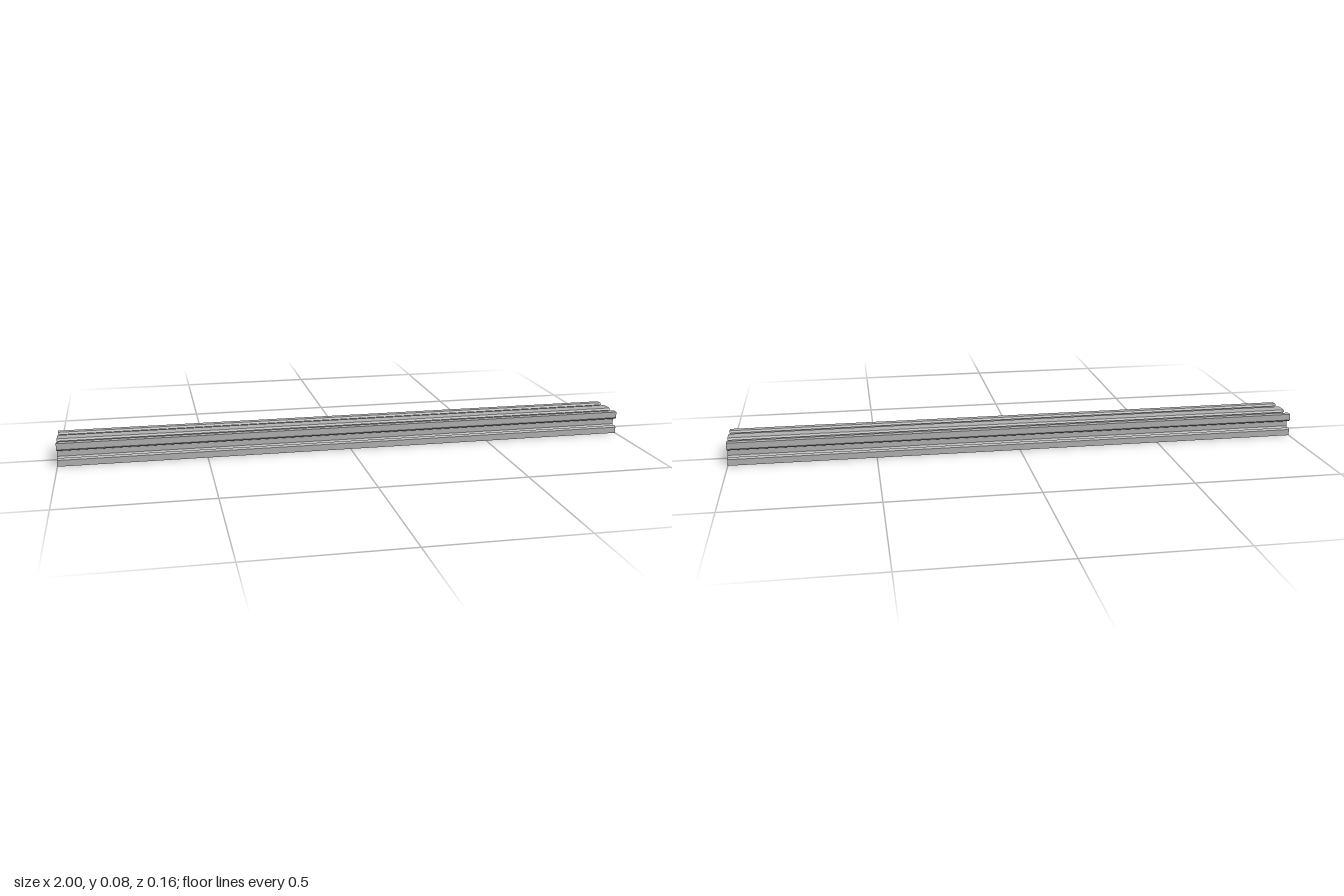
import * as THREE from 'three';

const MM = 0.004; // one millimetre in model units
const LENGTH = 500;

// Mirrors a quarter outline (u, v > 0, ordered from top to side) into a closed loop.
function mirrorQuarter(quarter) {
  const back = [...quarter].reverse();
  return [
    ...quarter,
    ...back.map(([u, v]) => [u, -v]),
    ...quarter.map(([u, v]) => [-u, -v]),
    ...back.map(([u, v]) => [-u, v]),
  ].map(([u, v]) => new THREE.Vector2(u, v));
}

export function createModel() {
  const group = new THREE.Group();
  group.name = 'slottedRail';
  const aluminium = new THREE.MeshStandardMaterial({ color: 0xb2b2b2, flatShading: true });
  aluminium.name = 'aluminium';

  // Outer section: middle flange, V slot, corner block, side V slot
  const profile = new THREE.Shape(mirrorQuarter([
    [5.42, 10], [6.9, 8.2], [4.5, 8.2], [4.5, 6.56], [7.16, 3.9],
    [12.84, 3.9], [15.5, 6.56], [15.5, 8.2], [13.1, 8.2], [14.58, 10],
    [20, 10], [20, 4.58], [18.2, 3.1], [18.2, 5.5], [16.56, 5.5], [13.9, 2.84],
  ]));

  // Central hollow between the two cores
  profile.holes.push(new THREE.Path(mirrorQuarter([[2.7, 8.2], [2.7, 6.24], [6.1, 2.84]])));

  // Round bore through each core
  for (const side of [-1, 1]) {
    const bore = [];
    for (let i = 0; i < 12; i++) {
      const a = (i / 12) * Math.PI * 2;
      bore.push(new THREE.Vector2(side * 10 + 2.1 * Math.cos(a), 2.1 * Math.sin(a)));
    }
    profile.holes.push(new THREE.Path(bore));
  }

  // Extrude the section and lay it along x
  const geometry = new THREE.ExtrudeGeometry(profile, { depth: LENGTH, bevelEnabled: false });
  geometry.translate(0, 10, -LENGTH / 2);
  geometry.rotateY(Math.PI / 2);
  geometry.scale(MM, MM, MM);

  const rail = new THREE.Mesh(geometry, aluminium);
  rail.name = 'rail';
  group.add(rail);
  return group;
}
